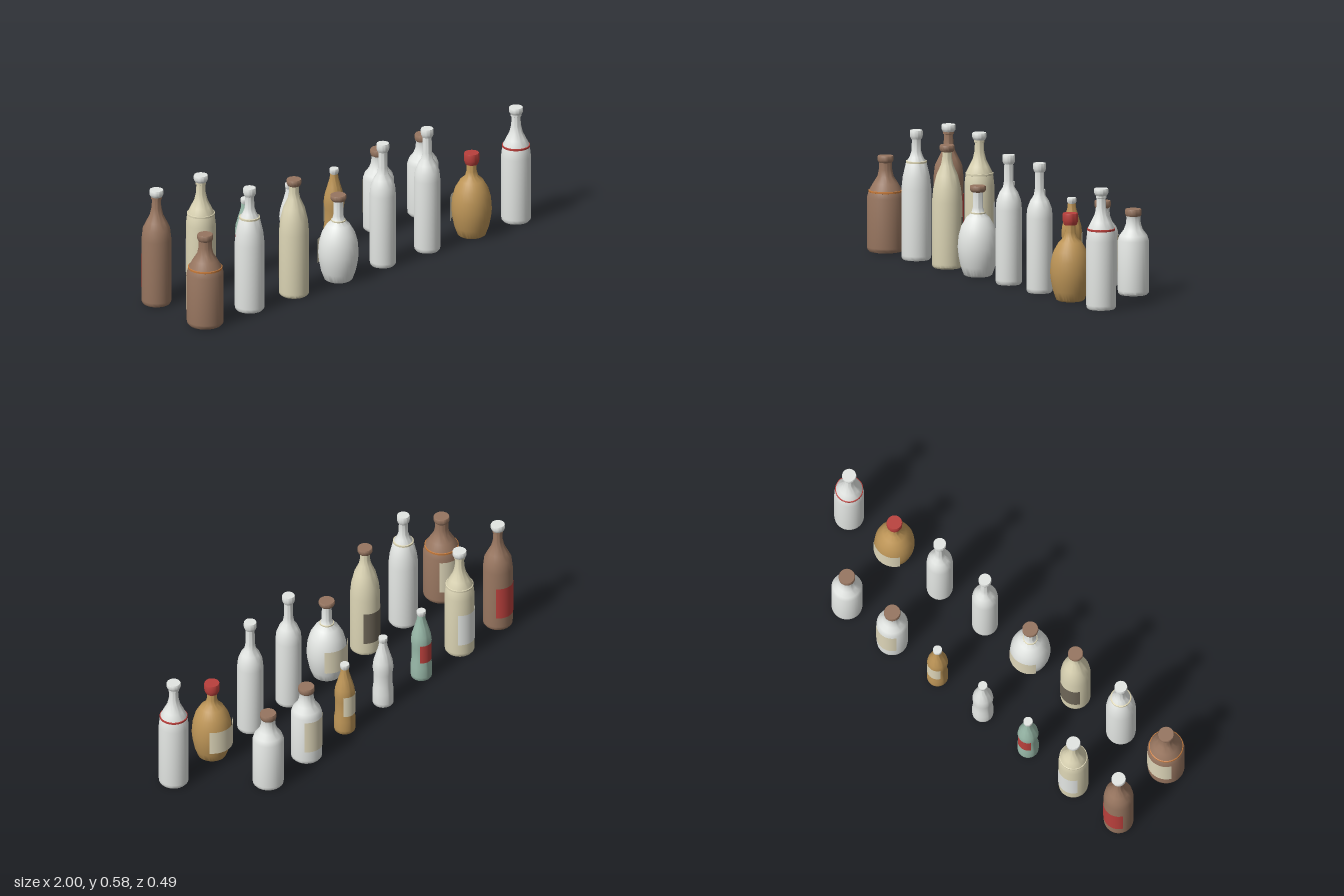
import * as THREE from 'three';
import { toCreasedNormals } from 'three/addons/utils/BufferGeometryUtils.js';

const mat = (name, color, side = THREE.FrontSide) => {
  const m = new THREE.MeshStandardMaterial({ color, side });
  m.name = name;
  return m;
};

// Body outlines as [radius, height] from foot to lip
const PROFILES = {
  tall: [[0.06, 0], [0.066, 0.008], [0.067, 0.02], [0.067, 0.31], [0.061, 0.362], [0.045, 0.395],
    [0.03, 0.425], [0.022, 0.46], [0.02, 0.5], [0.024, 0.502], [0.024, 0.515]],
  round: [[0.06, 0], [0.066, 0.008], [0.067, 0.02], [0.067, 0.32], [0.061, 0.375], [0.046, 0.44],
    [0.03, 0.465], [0.022, 0.49], [0.02, 0.54], [0.022, 0.55]],
  sloped: [[0.06, 0], [0.067, 0.008], [0.068, 0.02], [0.068, 0.3], [0.062, 0.36], [0.048, 0.42],
    [0.028, 0.465], [0.022, 0.495], [0.021, 0.53]],
  slim: [[0.052, 0], [0.058, 0.008], [0.059, 0.02], [0.059, 0.34], [0.055, 0.38], [0.042, 0.415],
    [0.026, 0.44], [0.021, 0.47], [0.02, 0.55]],
  stout: [[0.074, 0], [0.082, 0.01], [0.083, 0.02], [0.083, 0.245], [0.075, 0.275], [0.055, 0.31],
    [0.036, 0.34], [0.03, 0.37], [0.03, 0.405]],
  flask: [[0.055, 0], [0.064, 0.006], [0.078, 0.045], [0.087, 0.09], [0.091, 0.13], [0.087, 0.18],
    [0.075, 0.225], [0.052, 0.265], [0.03, 0.285], [0.023, 0.31], [0.022, 0.385]],
  small: [[0.042, 0], [0.047, 0.007], [0.048, 0.02], [0.048, 0.07], [0.043, 0.11], [0.043, 0.17],
    [0.047, 0.2], [0.043, 0.235], [0.03, 0.28], [0.02, 0.315], [0.017, 0.345]],
  short: [[0.062, 0], [0.069, 0.008], [0.07, 0.02], [0.07, 0.245], [0.062, 0.268], [0.043, 0.293],
    [0.034, 0.318], [0.031, 0.345], [0.033, 0.355]],
};

function turned(name, points, material) {
  const top = points[points.length - 1][1];
  const outline = [[0, points[0][1]], ...points, [0, top]].map(([r, y]) => new THREE.Vector2(r, y));
  const mesh = new THREE.Mesh(toCreasedNormals(new THREE.LatheGeometry(outline, 32), 0.65), material);
  mesh.name = name;
  return mesh;
}

// Cap with a narrower lower rim
function cap(r, y0, y1, material) {
  const h = y1 - y0;
  return turned('cap', [[r * 0.8, y0], [r * 0.93, y0 + h * 0.2], [r, y0 + h * 0.4],
    [r, y1 - h * 0.12], [r * 0.94, y1]], material);
}

// Curved paper label on the back of a bottle
function label(r, y0, y1, material) {
  const arc = 1.95;
  const g = new THREE.CylinderGeometry(r, r, y1 - y0, 20, 1, true, Math.PI - arc / 2, arc);
  const mesh = new THREE.Mesh(g, material);
  mesh.position.y = (y0 + y1) / 2;
  mesh.name = 'label';
  return mesh;
}

// Thin ring round the shoulder
function band(r, y, material) {
  return turned('shoulderBand', [[r - 0.002, y - 0.005], [r, y - 0.004], [r, y + 0.004], [r - 0.002, y + 0.005]], material);
}

export function createModel() {
  const D = THREE.DoubleSide;
  const clear = mat('clearGlass', 0xe3e6e3, D);
  const brown = mat('brownGlass', 0x987660);
  const cream = mat('creamGlass', 0xdbd4b4);
  const amber = mat('amberGlass', 0xbd9557);
  const green = mat('greenGlass', 0x98b8a8);
  const red = mat('red', 0xba403c, D);
  const cork = mat('corkBrown', 0x967560);
  const paper = mat('paper', 0xddd5b8, D);
  const dark = mat('darkPaper', 0x6e6658, D);
  const orange = mat('orange', 0xc47a3c);

  const front = [
    { p: 'stout', m: brown, cap: [0.036, 0.4, 0.432, cork], label: [0.085, 0.07, 0.232, paper], band: [0.077, 0.273, orange] },
    { p: 'round', m: clear, cap: [0.029, 0.545, 0.585, clear], band: [0.047, 0.442, cream] },
    { p: 'sloped', m: cream, cap: [0.034, 0.525, 0.555, cork], label: [0.07, 0.07, 0.232, dark] },
    { p: 'flask', m: clear, cap: [0.036, 0.38, 0.408, cork], label: [0.094, 0.07, 0.185, paper], band: [0.033, 0.284, cream] },
    { p: 'slim', m: clear, cap: [0.029, 0.545, 0.585, clear] },
    { p: 'slim', m: clear, cap: [0.029, 0.545, 0.585, clear] },
    { p: 'flask', m: amber, cap: [0.035, 0.343, 0.396, red], label: [0.094, 0.07, 0.185, paper] },
    { p: 'tall', m: clear, cap: [0.032, 0.513, 0.545, clear], band: [0.063, 0.36, red] },
  ];
  const back = [
    { p: 'tall', m: brown, cap: [0.032, 0.513, 0.545, clear], label: [0.069, 0.07, 0.232, red] },
    { p: 'tall', m: cream, cap: [0.032, 0.513, 0.545, clear], label: [0.069, 0.07, 0.232, clear], band: [0.063, 0.36, cream] },
    { p: 'small', m: green, cap: [0.021, 0.335, 0.362, clear], label: [0.046, 0.1, 0.195, red] },
    { p: 'small', m: clear, cap: [0.021, 0.335, 0.362, clear] },
    { p: 'small', m: amber, cap: [0.021, 0.335, 0.362, clear], label: [0.0475, 0.1, 0.205, paper] },
    { p: 'short', m: clear, cap: [0.037, 0.35, 0.386, cork], label: [0.072, 0.07, 0.232, paper] },
    { p: 'short', m: clear, cap: [0.037, 0.35, 0.386, cork] },
  ];

  const model = new THREE.Group();
  model.name = 'bottles';
  [[front, 0.155, 'frontBottle'], [back, -0.175, 'backBottle']].forEach(([row, z, name]) => {
    row.forEach((b, i) => {
      const bottle = new THREE.Group();
      bottle.name = name + (i + 1);
      bottle.add(turned('body', PROFILES[b.p], b.m), cap(...b.cap));
      if (b.label) bottle.add(label(...b.label));
      if (b.band) bottle.add(band(...b.band));
      bottle.position.set(-0.917 + i * 0.2643, 0, z);
      model.add(bottle);
    });
  });
  return model;
}
